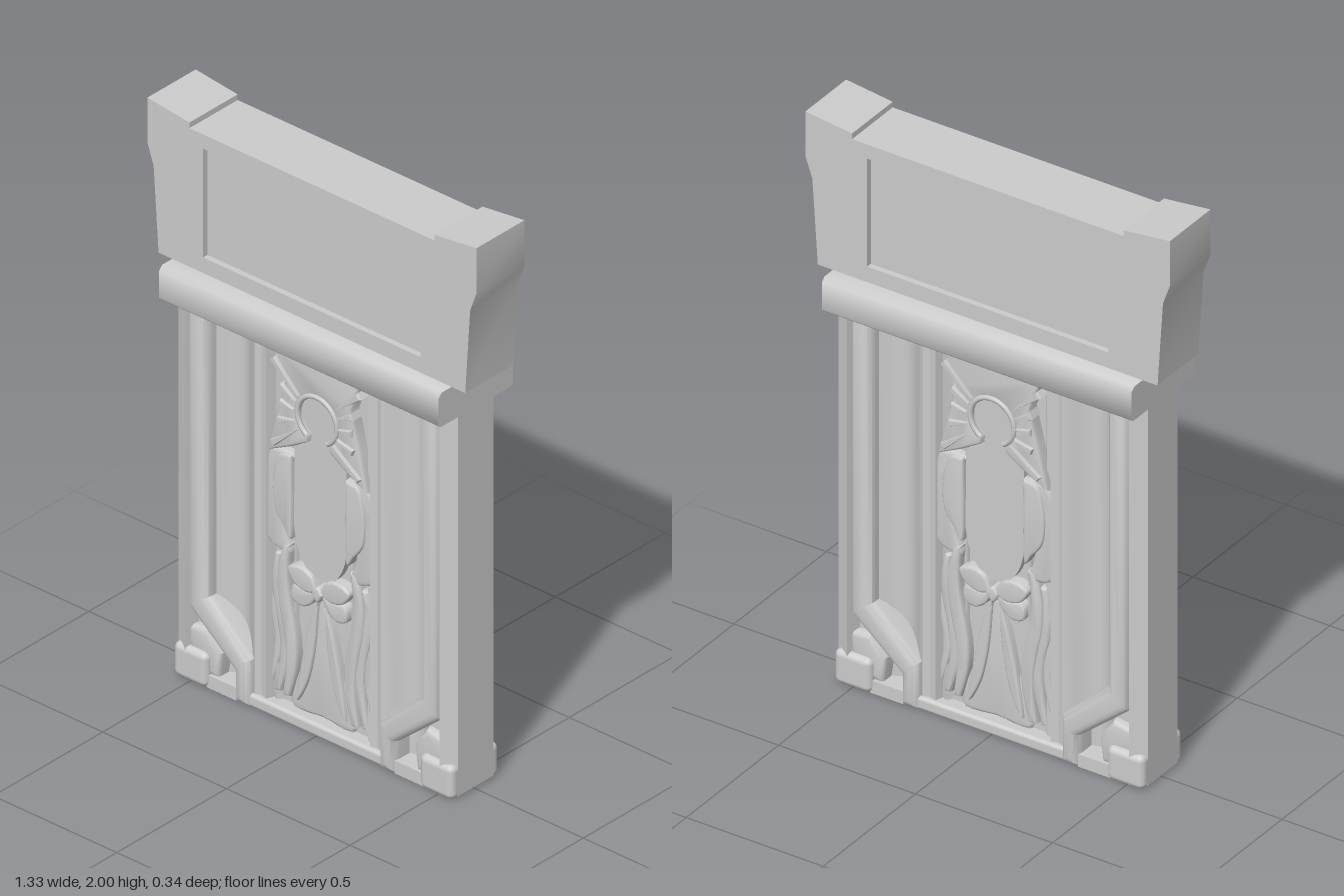
import * as THREE from 'three';
import { toCreasedNormals } from 'three/addons/utils/BufferGeometryUtils.js';
import { RoundedBoxGeometry } from 'three/addons/geometries/RoundedBoxGeometry.js';

const mat = new THREE.MeshStandardMaterial({ color: 0xcccccc });
const vec = (pts) => pts.map(([x, y]) => new THREE.Vector2(x, y));
const flip = (pts) => pts.map(([x, y]) => [-x, y]);
const poly = (pts) => new THREE.Shape(vec(pts));
const smooth = (pts) => new THREE.Shape(
  new THREE.SplineCurve(vec([...pts, pts[0]])).getPoints(pts.length * 5).slice(0, -1));

export function createModel() {
  const root = new THREE.Group();

  const add = (name, geo, x = 0, y = 0, z = 0) => {
    const m = new THREE.Mesh(geo, mat);
    m.name = name;
    m.position.set(x, y, z);
    root.add(m);
    return m;
  };
  // Slab reaching z = ±half, showing the same relief on both faces
  const slab = (name, shape, half, bevel = 0, rise = bevel) => {
    const geo = new THREE.ExtrudeGeometry(shape, {
      depth: 2 * (half - rise), bevelEnabled: bevel > 0, bevelSize: bevel,
      bevelOffset: -bevel, bevelThickness: rise, bevelSegments: 3, curveSegments: 20,
    });
    geo.translate(0, 0, rise - half);
    return add(name, toCreasedNormals(geo, 0.7), 0, 0, 0);
  };
  const pair = (name, make, pts, half, bevel, rise) => {
    slab(name + 'Left', make(pts), half, bevel, rise);
    slab(name + 'Right', make(flip(pts)), half, bevel, rise);
  };

  // Flared head block with a sunken tablet
  const headHalf = [[0.62, 1.47], [0.64, 1.77], [0.665, 1.84], [0.665, 2], [0.495, 1.98], [0.495, 1.96]];
  const head = poly([...headHalf, ...flip(headHalf).reverse()]);
  head.holes.push(new THREE.Path(vec([[-0.44, 1.525], [-0.44, 1.91], [0.44, 1.91], [0.44, 1.525]])));
  slab('headBlock', head, 0.11);
  add('tablet', new THREE.BoxGeometry(0.9, 0.4, 0.18), 0, 1.7175, 0);

  // Lintel with softly eased long edges
  const lintel = new THREE.ExtrudeGeometry(
    poly([[-0.17, 1.36], [-0.16, 1.35], [0.16, 1.35], [0.17, 1.36], [0.17, 1.455], [0.155, 1.47], [-0.155, 1.47], [-0.17, 1.455]]),
    { depth: 1.13, bevelEnabled: false });
  lintel.translate(0, 0, -0.565).rotateY(Math.PI / 2);
  add('lintel', toCreasedNormals(lintel, 0.9));

  // Upright panel: chamfered posts, hollow side flutes and a centre field
  const q = [[0.565, 0.08], [0.515, 0.108], [0.5, 0.06], [0.43, 0.06]];
  for (let i = 1; i <= 8; i++) {
    const t = i / 8;
    q.push([0.43 - 0.16 * t, 0.06 - 0.045 * Math.sin(Math.PI * t) + 0.015 * t]);
  }
  q.push([0.255, 0.082], [0.235, 0.075], [0.21, 0.082], [0.2, 0.055], [0.185, 0.062], [0.17, 0.045]);
  const face = [...q, ...flip(q).reverse()];
  const panel = new THREE.ExtrudeGeometry(
    poly([...face, ...face.map(([x, z]) => [x, -z]).reverse()]), { depth: 1.35, bevelEnabled: false });
  panel.rotateX(-Math.PI / 2).translate(0, 0.01, 0);
  add('flutedPanel', toCreasedNormals(panel, 0.6));

  // Inner moulding that turns diagonally towards the sill
  pair('moulding', poly, [[0.51, 1.355], [0.43, 1.355], [0.43, 0.32], [0.26, 0.165], [0.26, 0],
    [0.325, 0], [0.325, 0.11], [0.51, 0.265]], 0.11, 0.028, 0.035);
  // Corner feet and their low shoulders
  for (const s of [-1, 1]) {
    add('cornerFoot', new RoundedBoxGeometry(0.135, 0.12, 0.22, 4, 0.022), s * 0.4975, 0.06, 0);
    add('footLink', new THREE.BoxGeometry(0.12, 0.045, 0.19), s * 0.38, 0.0225, 0);
  }
  pair('footBrace', poly, [[0.52, 0.1], [0.52, 0.19], [0.44, 0.2], [0.39, 0.13], [0.4, 0.04], [0.44, 0.04]], 0.09, 0.02);
  add('sill', new RoundedBoxGeometry(0.56, 0.045, 0.19, 3, 0.012), 0, 0.0225, 0);

  // Upright ribs beside the figure
  for (const s of [-1, 1])
    for (const [x, h] of [[0.115, 0.96], [0.185, 1.3]])
      add('rib', new THREE.CylinderGeometry(0.012, 0.012, h, 10), s * x, 0.04 + h / 2, 0).scale.z = 5;

  // Draped sleeves: an outer crescent around a flatter inner one
  pair('sleeve', smooth, [[0.1, 0.94], [0.19, 0.94], [0.225, 0.86], [0.24, 0.75], [0.225, 0.64], [0.19, 0.595],
    [0.12, 0.59], [0.14, 0.66], [0.15, 0.76], [0.13, 0.86]], 0.075, 0.012);
  pair('innerSleeve', smooth, [[0.11, 0.94], [0.16, 0.93], [0.185, 0.84], [0.18, 0.74], [0.14, 0.68], [0.11, 0.66]], 0.083, 0.008);

  // Trailing wavy drapery, in overlapping folds
  for (let i = 0; i < 3; i++) {
    const a = [], b = [], w = 0.026 - i * 0.004;
    for (let k = 0; k <= 10; k++) {
      const t = k / 10, y = 0.62 - i * 0.05 - t * (0.54 - i * 0.05);
      const x = 0.135 + i * 0.032 + 0.018 * Math.sin(t * 6.5 + i * 0.4);
      const r = w * (0.55 + 0.45 * Math.sin(Math.PI * t));
      a.push([x + r, y]);
      b.unshift([x - r, y]);
    }
    pair('drapeFold' + (i + 1), poly, [...a, ...b], 0.076 - i * 0.007, 0.008, 0.016);
  }

  // Skirt with two pointed tails
  slab('skirt', smooth([[0, 0.47], [0.03, 0.42], [0.06, 0.28], [0.13, 0.06], [0, 0.05], [-0.13, 0.06], [-0.06, 0.28], [-0.03, 0.42]]), 0.06, 0.01);
  pair('tail', smooth, [[0.012, 0.46], [0.045, 0.38], [0.075, 0.25], [0.1, 0.08], [0.055, 0.16], [0.025, 0.3]], 0.072, 0.008);

  // Flat keyhole-like figure: round head, neck and long oval body
  const figure = new THREE.Shape();
  figure.moveTo(-0.035, 1.04);
  figure.absarc(0, 1.115, 0.075, Math.PI * 1.34, -Math.PI * 0.34, true);
  figure.lineTo(0.04, 1.01);
  figure.lineTo(0.105, 0.97);
  figure.lineTo(0.108, 0.7);
  figure.bezierCurveTo(0.1, 0.6, 0.06, 0.54, 0, 0.54);
  figure.bezierCurveTo(-0.06, 0.54, -0.1, 0.6, -0.108, 0.7);
  figure.lineTo(-0.105, 0.97);
  figure.lineTo(-0.04, 1.01);
  slab('figure', figure, 0.07);

  // Headdress cloth opening around the head
  const veil = [[0.18, 1.32], [0.135, 1.2], [0.165, 1.08], [0.2, 0.93], [0.11, 0.975], [0.045, 1.015], [0.042, 1.04]];
  for (let i = 0; i <= 8; i++) {
    const a = -0.9 + i * (0.9 + Math.PI / 2) / 8;
    veil.push([0.08 * Math.cos(a), 1.115 + 0.08 * Math.sin(a)]);
  }
  slab('headdress', poly([...veil, ...flip(veil).reverse().slice(1)]), 0.086, 0.01, 0.014);
  const halo = new THREE.TorusGeometry(0.08, 0.009, 8, 30, Math.PI * 1.65).rotateZ(-Math.PI * 0.325);
  for (const z of [-0.085, 0.085]) add('headRim', halo, 0, 1.115, z);
  // Pleats fanning out of the headdress
  for (const [x, y] of [[0.175, 1.27], [0.145, 1.185], [0.145, 1.125], [0.15, 1.06], [0.175, 0.97]]) {
    const dx = x, dy = y - 1.115, l = Math.hypot(dx, dy), c = 0.09 / l, n = 0.012 / l;
    pair('pleat', poly, [[dx * c, 1.115 + dy * c], [x + dy * n, y - dx * n], [x - dy * n, y + dx * n]], 0.098, 0.003, 0.012);
  }

  // Waist bow: upper loops, lower loops and knot
  pair('bowLoop', smooth, [[0.005, 0.5], [0.03, 0.55], [0.08, 0.565], [0.125, 0.545], [0.1, 0.5], [0.05, 0.485]], 0.084, 0.008);
  pair('bowEnd', smooth, [[0.005, 0.5], [0.05, 0.49], [0.105, 0.49], [0.11, 0.44], [0.07, 0.425], [0.03, 0.45]], 0.08, 0.008);
  slab('bowKnot', smooth([[0.022, 0.5], [0, 0.525], [-0.022, 0.5], [0, 0.47]]), 0.09, 0.008);

  return root;
}
